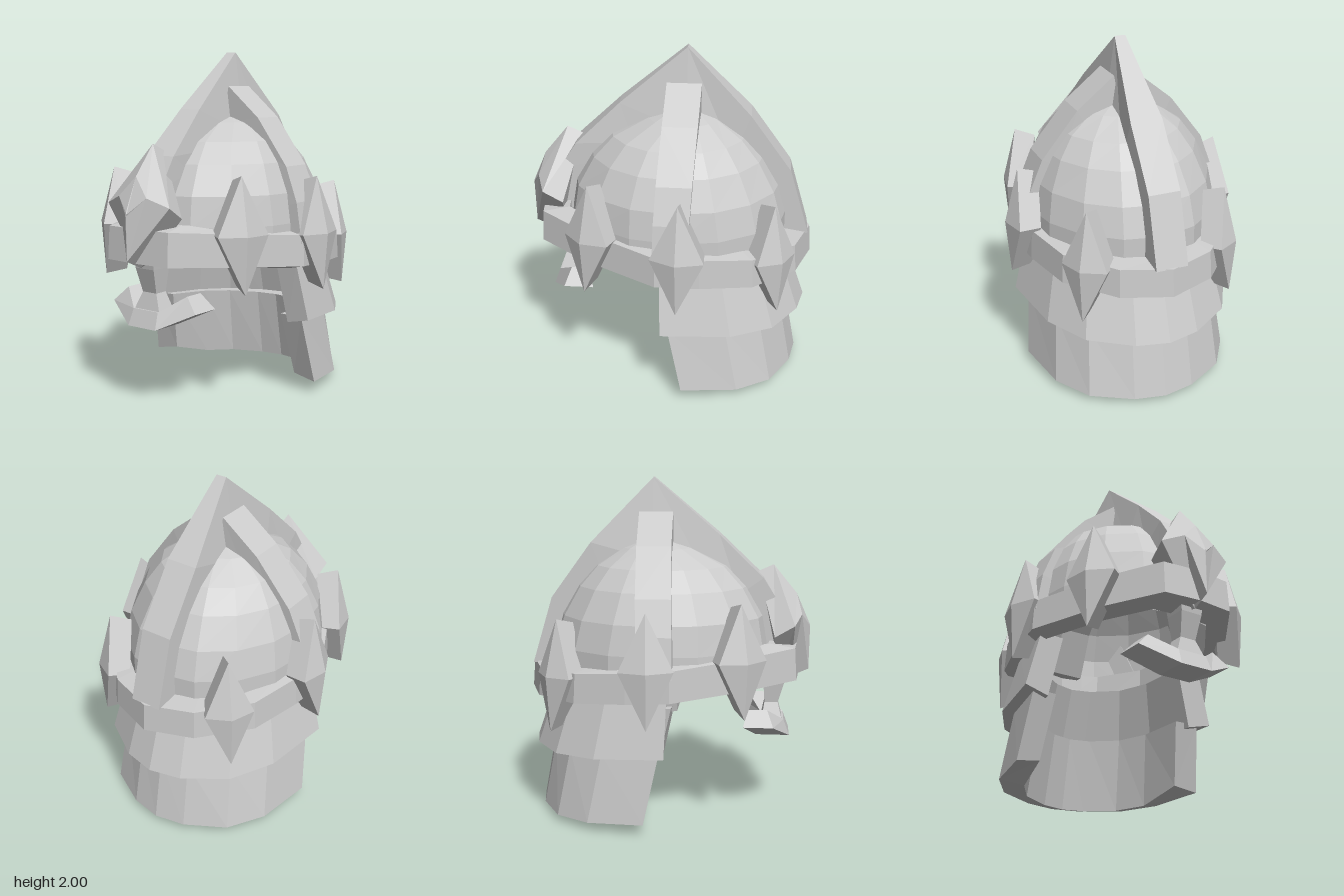
import * as THREE from 'three';

const material = new THREE.MeshStandardMaterial({ color: 0xcccccc, flatShading: true, side: THREE.DoubleSide });

// Skins a row of rings (lists of [x, y, z]); loop joins the last ring to the first.
function loft(name, rings, { loop = false, caps = !loop } = {}) {
  const tris = [];
  const n = rings[0].length;
  const last = loop ? rings.length : rings.length - 1;
  for (let i = 0; i < last; i++) {
    const a = rings[i], b = rings[(i + 1) % rings.length];
    for (let j = 0; j < n; j++) {
      const k = (j + 1) % n;
      tris.push([a[j], b[j], b[k]], [a[j], b[k], a[k]]);
    }
  }
  if (caps) {
    const a = rings[0], b = rings[rings.length - 1];
    for (let j = 1; j < n - 1; j++) tris.push([a[0], a[j], a[j + 1]], [b[0], b[j + 1], b[j]]);
  }
  // Turn the skin outward using its signed volume about its centre
  const vecs = tris.map(t => t.map(p => new THREE.Vector3(...p)));
  const c = new THREE.Vector3();
  vecs.flat().forEach(v => c.add(v));
  c.divideScalar(vecs.length * 3);
  let volume = 0;
  for (const [p, q, r] of vecs) {
    volume += p.clone().sub(c).dot(q.clone().sub(c).cross(r.clone().sub(c)));
  }
  if (volume < 0) vecs.forEach(t => t.reverse());
  const geometry = new THREE.BufferGeometry().setFromPoints(vecs.flat());
  geometry.computeVertexNormals();
  const mesh = new THREE.Mesh(geometry, material);
  mesh.name = name;
  return mesh;
}

// Mirrors a half outline running from one centre point to the other
const mirrorLoop = half => [...half, ...half.slice(1, -1).reverse().map(([x, z]) => [-x, z])];

// Egg-shaped faceted skull cap: [y, half width, front z, back z]
function dome() {
  const levels = [[0.82, 0.565, 0.62, -0.7], [1.03, 0.56, 0.61, -0.7], [1.2, 0.53, 0.58, -0.65],
    [1.37, 0.455, 0.48, -0.55], [1.49, 0.365, 0.36, -0.44], [1.59, 0.22, 0.15, -0.28], [1.64, 0.085, 0.01, -0.17],
    [1.645, 0.005, -0.07, -0.08]];
  const rings = levels.map(([y, w, f, b]) => Array.from({ length: 16 }, (_, i) => {
    const a = i / 16 * Math.PI * 2;
    const c = Math.cos(a), mid = (f + b) / 2 + 0.15 * (f + b) * (1 - Math.abs(c));
    return [Math.sin(a) * w, y, mid + c * ((c > 0 ? f : 2 * mid - b - mid) - (c > 0 ? mid : 0))];
  }));
  return loft('dome', rings, { caps: false });
}

// Heavy band around the brow, sloping down to the back
function browBand() {
  const plan = mirrorLoop([[0, 0.78], [0.22, 0.76], [0.43, 0.46], [0.63, 0.05], [0.6, -0.2],
    [0.52, -0.5], [0.28, -0.75], [0, -0.845]]);
  const rings = plan.map(([x, z]) => {
    const low = 0.787 + 0.07 * z, high = 0.965 + 0.085 * z;
    const xi = x * 0.83, zi = -0.03 + (z + 0.03) * (z > 0.1 ? 0.79 : 0.84);
    return [[x, low, z], [x * 0.985, high, z * 0.985], [xi, high + 0.02, zi], [xi, low - 0.025, zi]];
  });
  return loft('browBand', rings, { loop: true });
}

// Tall ridge from front to back, thinnest at its peak: [z, y, half width, inner z, inner y]
function crest() {
  const path = [[0.74, 1.0, 0.1, 0.58, 1.0], [0.67, 1.25, 0.1, 0.52, 1.18], [0.56, 1.42, 0.097, 0.42, 1.32],
    [0.3, 1.67, 0.07, 0.22, 1.44], [-0.09, 2, 0.032, -0.09, 1.52], [-0.46, 1.62, 0.095, -0.36, 1.38],
    [-0.7, 1.29, 0.095, -0.53, 1.15], [-0.82, 0.89, 0.095, -0.63, 0.88]];
  return loft('crest', path.map(([z, y, w, zi, yi]) =>
    [[-w, y, z], [w, y, z], [0.1, yi, zi], [-0.1, yi, zi]]));
}

// Side rib from the crest down to the band: [x, y, inner x, inner y, z]
function sideRib(s) {
  const path = [[0.07, 1.8, 0.03, 1.58, -0.073], [0.29, 1.62, 0.22, 1.48, -0.065], [0.5, 1.35, 0.4, 1.3, -0.05],
    [0.58, 1.15, 0.48, 1.12, -0.04], [0.62, 0.92, 0.5, 0.92, -0.035]];
  return loft('sideRib', path.map(([x, y, xi, yi, z]) => [[s * x, y, z + 0.1], [s * x, y, z - 0.1],
    [s * xi, yi, z - 0.1], [s * xi, yi, z + 0.1]]));
}

// Pointed diamond stud facing outward along (nx, nz), its top leaning inward
function stud(s, x, y, z, nx, nz, halfWidth) {
  const at = (u, v, d) => {
    const out = d - 0.09 * v;
    return [s * (x + nx * out + nz * u), y + v, z + nz * out - nx * u];
  };
  const diamond = (d, k) => [at(0, 0.325 * k, d), at(halfWidth * k, 0, d), at(0, -0.325 * k, d), at(-halfWidth * k, 0, d)];
  return loft('stud', [diamond(-0.08, 0.9), diamond(0.045, 1), diamond(0.1, 0.01)]);
}

// Large faceted gem over the brow
function browGem() {
  const ring = (top, side, bottom) => [[0, ...top], side, [0, ...bottom], [-side[0], side[1], side[2]]];
  return loft('browGem', [
    ring([1.45, 0.53], [0.215, 1.09, 0.63], [0.83, 0.66]),
    ring([1.49, 0.62], [0.225, 1.16, 0.745], [0.81, 0.73]),
    ring([1.32, 0.76], [0.1, 1.21, 0.79], [0.86, 0.84]),
    ring([1.13, 0.843], [0.005, 1.12, 0.843], [1.11, 0.843]),
  ]);
}

// Bar hanging from the band over the nose: [y, half width, front z, back z]
function noseBar() {
  const path = [[0.88, 0.075, 0.71, 0.56], [0.8, 0.067, 0.7, 0.57], [0.66, 0.05, 0.66, 0.58], [0.54, 0.1, 0.69, 0.56]];
  return loft('noseBar', path.map(([y, w, f, b]) => [[-w, y, f], [w, y, f], [w, y, b], [-w, y, b]]));
}

// Upswept lip guard: [top x, top y, bottom x, bottom y, front z, back z]
function lipGuard() {
  const half = [[0.22, 0.655, 0.305, 0.57, 0.615, 0.455], [0.09, 0.565, 0.1, 0.47, 0.715, 0.53]];
  const all = [...half, ...half.slice().reverse().map(([a, b, c, ...r]) => [-a, b, -c, ...r])];
  return loft('lipGuard', all.map(([xt, yt, xb, yb, f, b]) =>
    [[xt, yt, f - 0.02], [xb, yb, f + 0.015], [xb, yb, b], [xt, yt, b + 0.025]]));
}

// Curved neck plate; each rim is [half width, depth, front z, y at front, y at back],
// and tipDrop lowers the inner rim at the two front ends
function neckPlate(name, top, bottom, tipDrop) {
  const half = [[1, 0], [0.9, 0.48], [0.68, 0.77], [0.3, 0.95], [0, 1]];
  const plan = [...half, ...half.slice(0, -1).reverse().map(([x, t]) => [-x, t])];
  const rim = ([w, d, z0, yf, yb], [x, t], inset, drop) => [
    x * (w - inset * 1.15), yf + (yb - yf) * t - drop, z0 - inset * 0.1 - t * (d + z0 - inset * 1.1)];
  return loft(name, plan.map(p => [rim(top, p, 0, 0), rim(bottom, p, 0, 0),
    rim(bottom, p, 0.13, p[1] ? 0.03 : tipDrop), rim(top, p, 0.13, 0)]));
}

export function createModel() {
  const model = new THREE.Group();
  model.name = 'helmet';
  model.add(dome(), browBand(), crest(), browGem(), noseBar(), lipGuard());
  model.add(neckPlate('upperNeckPlate', [0.56, 0.7, 0.03, 0.8, 0.76], [0.64, 0.82, 0.02, 0.47, 0.415], 0.035));
  model.add(neckPlate('lowerNeckPlate', [0.57, 0.71, -0.015, 0.47, 0.43], [0.612, 0.785, -0.1, 0.07, 0.03], -0.025));
  for (const s of [1, -1]) {
    model.add(sideRib(s));
    model.add(stud(s, 0.46, 1.0, 0.43, 0.87, 0.49, 0.15));
    model.add(stud(s, 0.61, 0.97, -0.08, 0.99, 0.1, 0.155));
    model.add(stud(s, 0.405, 0.89, -0.6, 0.76, -0.65, 0.14));
  }
  return model;
}
